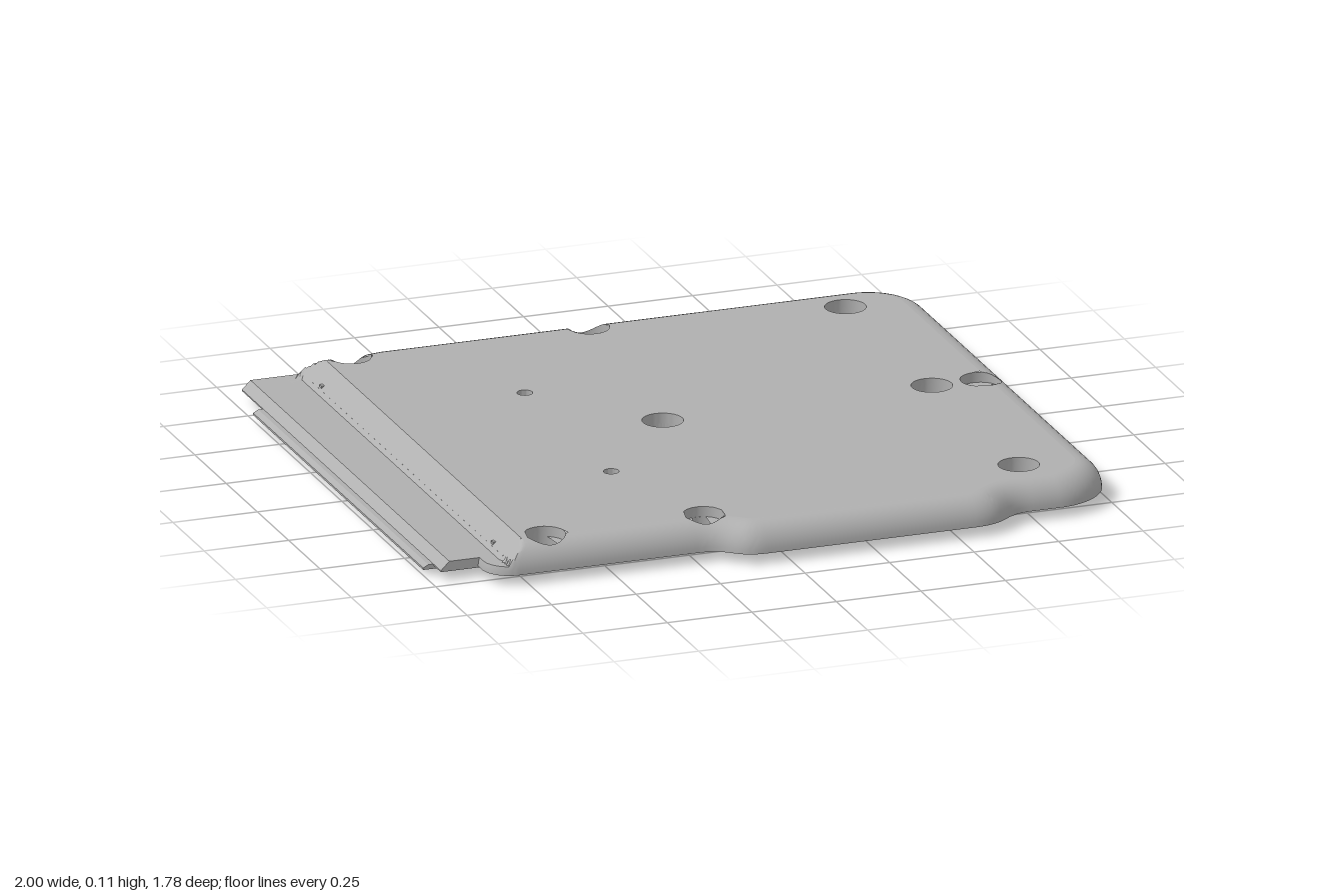
import * as THREE from 'three';
import { toCreasedNormals } from 'three/addons/utils/BufferGeometryUtils.js';

const BASE = 0.03, TOP = 0.11, ROUND = 0.075, CEIL = 0.08, POCKET = 0.04, RAMP = -0.745;
const BORE = 0.058, HOLE = 0.027;
const bolts = [[-0.67, 0.73], [-0.2, 0.73], [-0.67, -0.82], [0.035, -0.82], [0.905, -0.04],
  [0.76, -0.04], [0.76, -0.73], [0.76, 0.655]];
const pins = [[-0.32, -0.375], [-0.32, 0.315]];
const centre = [-0.04, -0.03];

// Footprint of the plate, in x and z
function footprint() {
  const s = new THREE.Shape();
  s.moveTo(-0.86, -0.88);
  s.lineTo(-0.64, -0.88);
  s.lineTo(-0.58, -0.89);
  s.lineTo(0.82, -0.89);
  s.absarc(0.82, -0.71, 0.18, -Math.PI / 2, 0, false);
  s.lineTo(1, 0.64);
  s.absarc(0.82, 0.64, 0.18, 0, Math.PI / 2, false);
  s.lineTo(0.74, 0.82);
  s.bezierCurveTo(0.64, 0.82, 0.66, 0.89, 0.54, 0.89);
  s.lineTo(-0.07, 0.89);
  s.bezierCurveTo(-0.17, 0.89, -0.15, 0.82, -0.25, 0.82);
  s.lineTo(-0.78, 0.82);
  s.absarc(-0.78, 0.74, 0.08, Math.PI / 2, Math.PI, false);
  s.lineTo(-0.86, -0.88);
  const pts = s.getSpacedPoints(760);
  pts.pop();
  return pts;
}

const edge = footprint();
const inward = edge.map((p, i) => {
  const n = edge.length;
  const t = edge[(i + 1) % n].clone().sub(edge[(i + n - 1) % n]).normalize();
  return new THREE.Vector2(-t.y, t.x);
});

const edgeDistance = (x, z) => Math.min(...edge.map((p) => Math.hypot(p.x - x, p.y - z)));
const roundHeight = (d) => BASE + (TOP - BASE) * Math.sqrt(1 - (1 - Math.min(Math.max(d / ROUND, 0), 1)) ** 2);
// The left side drops by a ramp to a low ledge
const rampHeight = (x) => (x < -0.8 ? 0.055 : Math.min(TOP, 0.065 + (x + 0.8) * 0.045 / 0.055));

// Footprint inset by d; points inside a bolt recess slide to its rim, inward (+1) or outward (-1)
function insetLoop(d, dir) {
  return edge.map((p, i) => {
    const n = inward[i];
    const q = p.clone().addScaledVector(n, d);
    let depth = d;
    for (const [x, z] of d > 0 ? bolts : []) {
      const v = new THREE.Vector2(q.x - x, q.y - z);
      const c = v.lengthSq() - BORE * BORE;
      if (c >= 0) continue;
      const b = v.dot(n) * dir;
      const t = -b + Math.sqrt(b * b - c);
      q.addScaledVector(n, t * dir);
      depth += t * dir;
    }
    return { x: q.x, z: q.y, d: depth };
  });
}

// Skin between successive closed loops of [x, y, z]
function loft(loops) {
  const n = loops[0].length, index = [];
  for (let k = 0; k < loops.length - 1; k++) {
    for (let i = 0; i < n; i++) {
      const a = k * n + i, b = k * n + (i + 1) % n;
      index.push(a, a + n, b, b, a + n, b + n);
    }
  }
  const g = new THREE.BufferGeometry();
  g.setAttribute('position', new THREE.Float32BufferAttribute(loops.flat(2), 3));
  g.setIndex(index);
  return toCreasedNormals(g, 0.5);
}

const ring = (x, z, r, y, n = 40) => Array.from({ length: n }, (_, i) => {
  const a = i / n * Math.PI * 2;
  const px = x + r * Math.cos(a), pz = z + r * Math.sin(a);
  return [px, typeof y === 'function' ? y(px, pz) : y, pz];
});
const circle = (x, z, r, n = 40) => new THREE.Path(ring(x, z, r, 0, n).map((p) => new THREE.Vector2(p[0], p[2])));
const rect = (x0, x1, z0, z1) => [[x0, z0], [x1, z0], [x1, z1], [x0, z1]].map((p) => new THREE.Vector2(...p));

// Flat sheet filling an inset loop, with all openings
function sheet(d, y, xMin) {
  const s = new THREE.Shape(insetLoop(d, 1).map((p) => new THREE.Vector2(Math.max(p.x, xMin), p.z)));
  for (const [x, z] of bolts) if (edgeDistance(x, z) - BORE > d) s.holes.push(circle(x, z, BORE));
  for (const [x, z] of pins) s.holes.push(circle(x, z, 0.022));
  s.holes.push(circle(...centre, BORE));
  return new THREE.ShapeGeometry(s).rotateX(Math.PI / 2).translate(0, y, 0);
}

// Slab of a plan shape between two heights
function slab(points, holes, y0, y1) {
  const s = new THREE.Shape(points);
  s.holes.push(...holes);
  return new THREE.ExtrudeGeometry(s, { depth: y1 - y0, bevelEnabled: false }).rotateX(Math.PI / 2).translate(0, y1, 0);
}

// Bar of an x-y profile running along z
function bar(profile, z0, z1) {
  const s = new THREE.Shape(profile.map((p) => new THREE.Vector2(...p)));
  return new THREE.ExtrudeGeometry(s, { depth: z1 - z0, bevelEnabled: false }).translate(0, 0, z0);
}

export function createModel() {
  const model = new THREE.Group();
  const grey = new THREE.MeshStandardMaterial({ color: 0xb0b0b0, side: THREE.DoubleSide });
  grey.name = 'plain grey';
  const add = (name, geometry) => {
    const m = new THREE.Mesh(geometry, grey);
    m.name = name;
    model.add(m);
    return m;
  };

  // Outer skin
  add('topFace', sheet(ROUND, TOP, RAMP));
  const rim = [];
  for (let k = 0; k <= 9; k++) {
    const d = ROUND * (1 - Math.cos(k / 9 * Math.PI / 2));
    rim.push(insetLoop(d, -1).map((p) => [p.x, Math.min(roundHeight(p.d), rampHeight(p.x)), p.z]));
  }
  add('roundedRim', loft(rim));

  // Hollow underside
  const lip = insetLoop(POCKET, -1);
  add('bottomRim', loft([
    edge.map((p) => [p.x, BASE, p.y]),
    lip.map((p) => [p.x, BASE, p.z]),
    lip.map((p) => [p.x, Math.min(CEIL, rampHeight(p.x) - 0.01, roundHeight(p.d) - 0.005), p.z]),
  ]));
  add('pocketCeiling', sheet(POCKET, CEIL, -0.72));

  // Stepped left side
  add('ledge', bar([[-0.97, 0.026], [-0.97, 0.03], [-0.945, 0.055], [-0.78, 0.055], [-0.78, 0.026]], -0.88, 0.71));
  add('ramp', bar([[-0.8, 0.05], [-0.8, 0.065], [RAMP, TOP], [RAMP, 0.05]], -0.805, 0.745));
  add('leftLip', bar([[-1, 0.016], [-1, 0.022], [-0.985, 0.03], [-0.955, 0.03], [-0.955, 0.016]], -0.71, 0.65));
  add('leftFloor', slab(rect(-0.82, -0.72, -0.84, 0.78), [], 0.03, 0.05));
  for (const z of [-0.72, 0.65]) add('rampTab', new THREE.BoxGeometry(0.014, 0.012, 0.016).translate(-0.79, 0.069, z));

  // Recessed bolt seats, which follow the rounded edge
  const surface = (x, z) => Math.min(roundHeight(edgeDistance(x, z)), rampHeight(x));
  for (const [x, z] of bolts) {
    add('boltSeat', loft([ring(x, z, BORE, surface), ring(x, z, BORE, 0.055), ring(x, z, HOLE, 0.055),
      ring(x, z, HOLE, BASE), ring(x, z, BORE, BASE), ring(x, z, BORE, 0.055)]));
  }
  for (const [x, z] of pins) add('pinHole', loft([ring(x, z, 0.022, TOP), ring(x, z, 0.022, 0.024)]));

  // Centre boss with a six-sided socket below
  const [cx, cz] = centre;
  add('centreBore', loft([ring(cx, cz, BORE, TOP), ring(cx, cz, BORE, 0.045)]));
  const disc = circle(cx, cz, 0.145, 48).getPoints();
  add('hexSocket', slab(disc, [circle(cx, cz, 0.085, 6)], 0, 0.045));
  add('bossBody', slab(disc, [circle(cx, cz, BORE)], 0.045, CEIL));

  // Pin panel and surrounding frame
  add('pinPanel', slab(rect(-0.42, 0.12, -0.42, 0.36),
    [...pins.map(([x, z]) => circle(x, z, 0.022)), circle(cx, cz, 0.14)], 0.024, CEIL));
  add('panelBorder', slab(rect(-0.43, 0.13, -0.43, 0.37), [new THREE.Path(rect(-0.41, 0.11, -0.41, 0.35))], 0.014, 0.04));
  add('frame', slab(rect(-0.68, 0.68, -0.72, 0.66), [new THREE.Path(rect(-0.65, 0.65, -0.69, 0.63))], 0.012, CEIL));
  add('leftPad', slab(rect(-0.8, -0.68, -0.72, 0.66), [], 0.012, 0.05));

  // Ribs
  const rib = (x0, z0, x1, z1, y0) => {
    const len = Math.hypot(x1 - x0, z1 - z0);
    const m = add('rib', new THREE.BoxGeometry(len, CEIL - y0, 0.024));
    m.position.set((x0 + x1) / 2, (CEIL + y0) / 2, (z0 + z1) / 2);
    m.rotation.y = -Math.atan2(z1 - z0, x1 - x0);
  };
  const xs = [-0.66, -0.42, -0.15, 0.12, 0.4, 0.66], zs = [-0.7, -0.42, -0.16, 0.1, 0.36, 0.64];
  for (let i = 0; i < 5; i++) {
    for (let j = 0; j < 5; j++) {
      if (i > 0 && i < 3 && j > 0 && j < 4) continue;
      const [x0, x1, z0, z1] = [xs[i], xs[i + 1], zs[j], zs[j + 1]];
      if ((i + j) % 2) rib(x0, z0, x1, z1, 0.02);
      else rib(x0, z1, x1, z0, 0.02);
      if (i) rib(x0, z0, x0, z1, 0.02);
      if (j) rib(x0, z0, x1, z0, 0.02);
    }
  }
  // Short ribs from the frame to the rim
  for (const x of [-0.4, -0.1, 0.25, 0.5]) {
    rib(x, -0.72, x + 0.09, -0.845, BASE);
    rib(x, 0.66, x + 0.09, 0.775, BASE);
  }
  for (const z of [-0.5, -0.25, 0.15, 0.4]) rib(0.68, z, 0.955, z + 0.1, BASE);
  return model;
}
